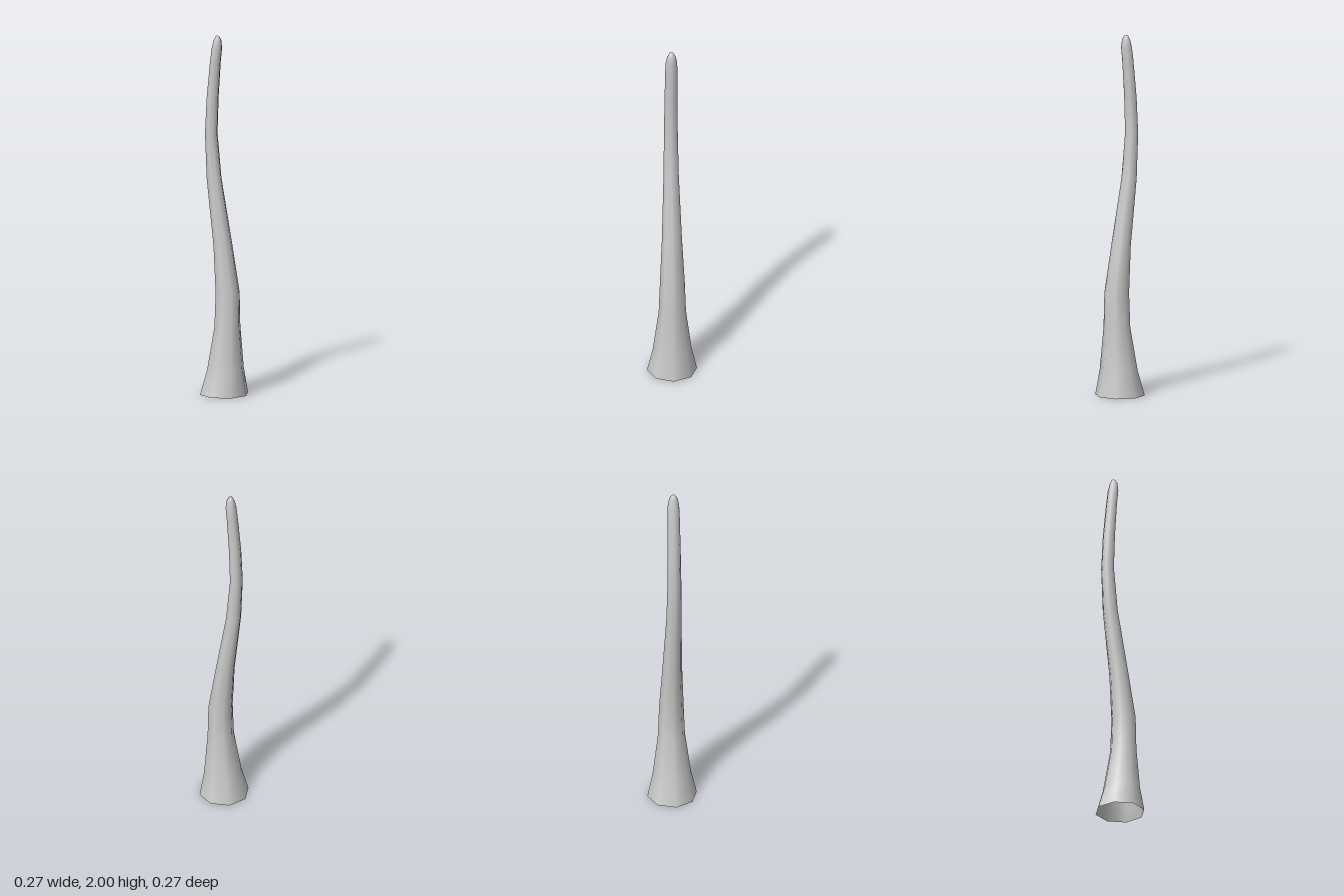
import * as THREE from 'three';

const SIDES = 8;

// Cross-sections from foot to tip: [height, left edge x, right edge x, half depth]
const SECTIONS = [
  [0, -0.137, 0.137, 0.137],
  [0.14, -0.095, 0.113, 0.106],
  [0.38, -0.052, 0.094, 0.075],
  [0.57, -0.046, 0.091, 0.068],
  [0.83, -0.06, 0.046, 0.055],
  [1.2, -0.104, -0.02, 0.042],
  [1.45, -0.114, -0.045, 0.038],
  [1.65, -0.104, -0.038, 0.036],
  [1.85, -0.083, -0.025, 0.034],
  [1.93, -0.073, -0.016, 0.032],
  [1.975, -0.062, -0.02, 0.023],
  [1.994, -0.053, -0.031, 0.012],
];

// Loft the octagonal sections and close them with a tip vertex
function loftStalk() {
  const positions = [];
  const index = [];
  for (const [y, left, right, depth] of SECTIONS) {
    const cx = (left + right) / 2;
    const rx = (right - left) / 2;
    for (let i = 0; i < SIDES; i++) {
      const a = (i / SIDES) * Math.PI * 2;
      positions.push(cx + rx * Math.sin(a), y, depth * Math.cos(a));
    }
  }
  const tip = positions.length / 3;
  positions.push(-0.042, 2, 0);

  for (let r = 0; r < SECTIONS.length; r++) {
    for (let i = 0; i < SIDES; i++) {
      const a = r * SIDES + i;
      const b = r * SIDES + ((i + 1) % SIDES);
      if (r === SECTIONS.length - 1) index.push(a, b, tip);
      else index.push(a, b, b + SIDES, a, b + SIDES, a + SIDES);
    }
  }
  const geometry = new THREE.BufferGeometry();
  geometry.setAttribute('position', new THREE.Float32BufferAttribute(positions, 3));
  geometry.setIndex(index);
  geometry.computeVertexNormals();
  return geometry;
}

export function createModel() {
  const group = new THREE.Group();
  group.name = 'curvedStalk';

  // Tapering bent stalk, open at the foot
  const material = new THREE.MeshStandardMaterial({ color: 0xcccccc, side: THREE.DoubleSide });
  const stalk = new THREE.Mesh(loftStalk(), material);
  stalk.name = 'stalk';
  group.add(stalk);
  return group;
}
